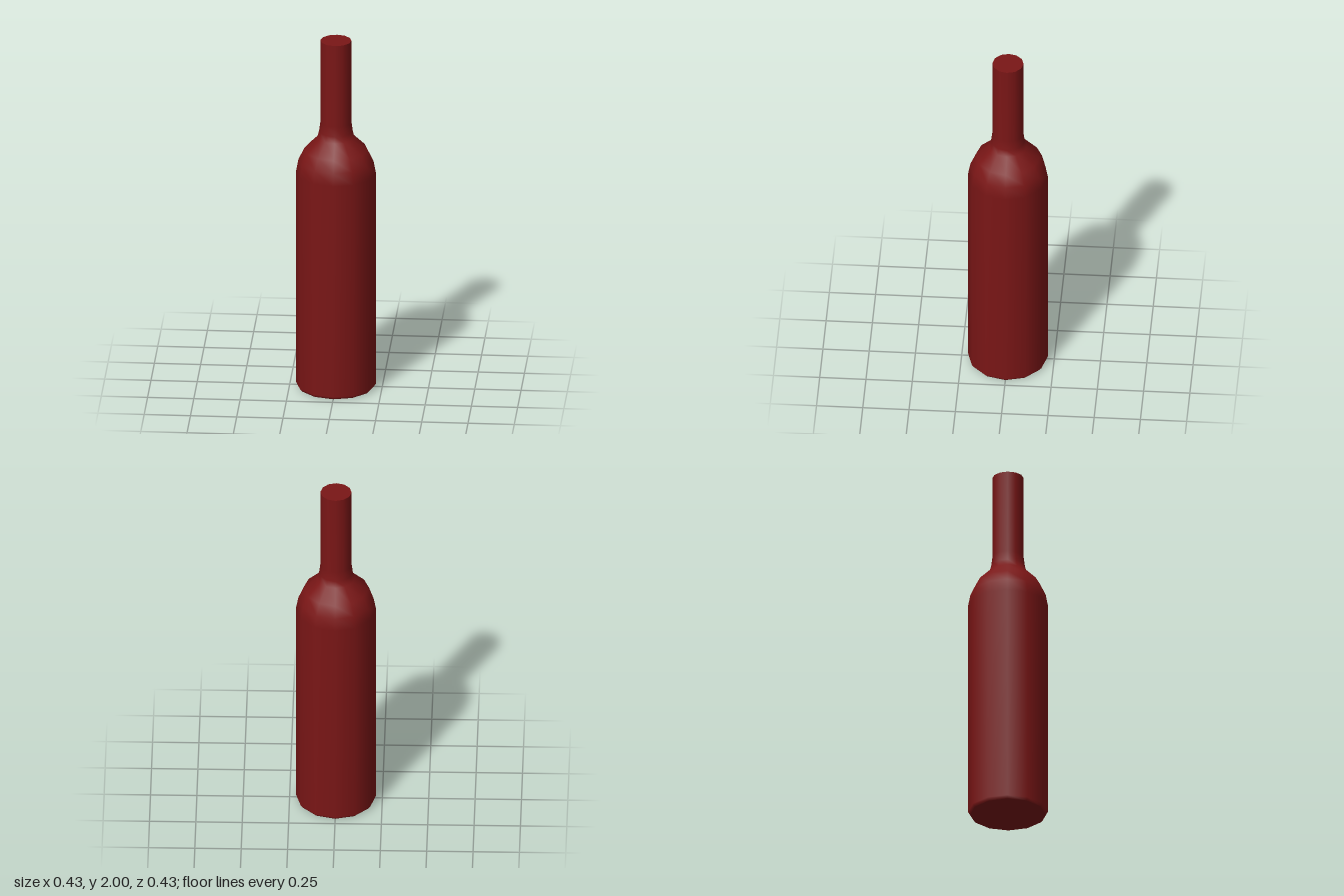
import * as THREE from 'three';

const SIDES = 12;

// [radius, height] from base to mouth
const PROFILE = [
  [0.204, 0], [0.216, 0.016], [0.216, 1.237], [0.203, 1.306], [0.172, 1.37],
  [0.101, 1.44], [0.091, 1.476], [0.084, 1.53], [0.084, 2],
];

export function createModel() {
  const bottle = new THREE.Group();
  bottle.name = 'bottle';
  const glass = new THREE.MeshStandardMaterial({ color: 0x7a1616 });

  const add = (name, geometry) => {
    const mesh = new THREE.Mesh(geometry, glass);
    mesh.name = name;
    bottle.add(mesh);
    return mesh;
  };

  // Body, shoulder and neck in one smooth turned wall
  add('bottleWall', new THREE.LatheGeometry(PROFILE.map(([r, y]) => new THREE.Vector2(r, y)), SIDES));

  // Flat discs closing the mouth and the base, corners aligned with the wall
  const mouth = add('mouthCap', new THREE.CircleGeometry(PROFILE.at(-1)[0], SIDES));
  mouth.rotation.x = -Math.PI / 2;
  mouth.position.y = 2;

  const base = add('baseCap', new THREE.CircleGeometry(PROFILE[0][0], SIDES));
  base.rotation.x = Math.PI / 2;

  return bottle;
}
